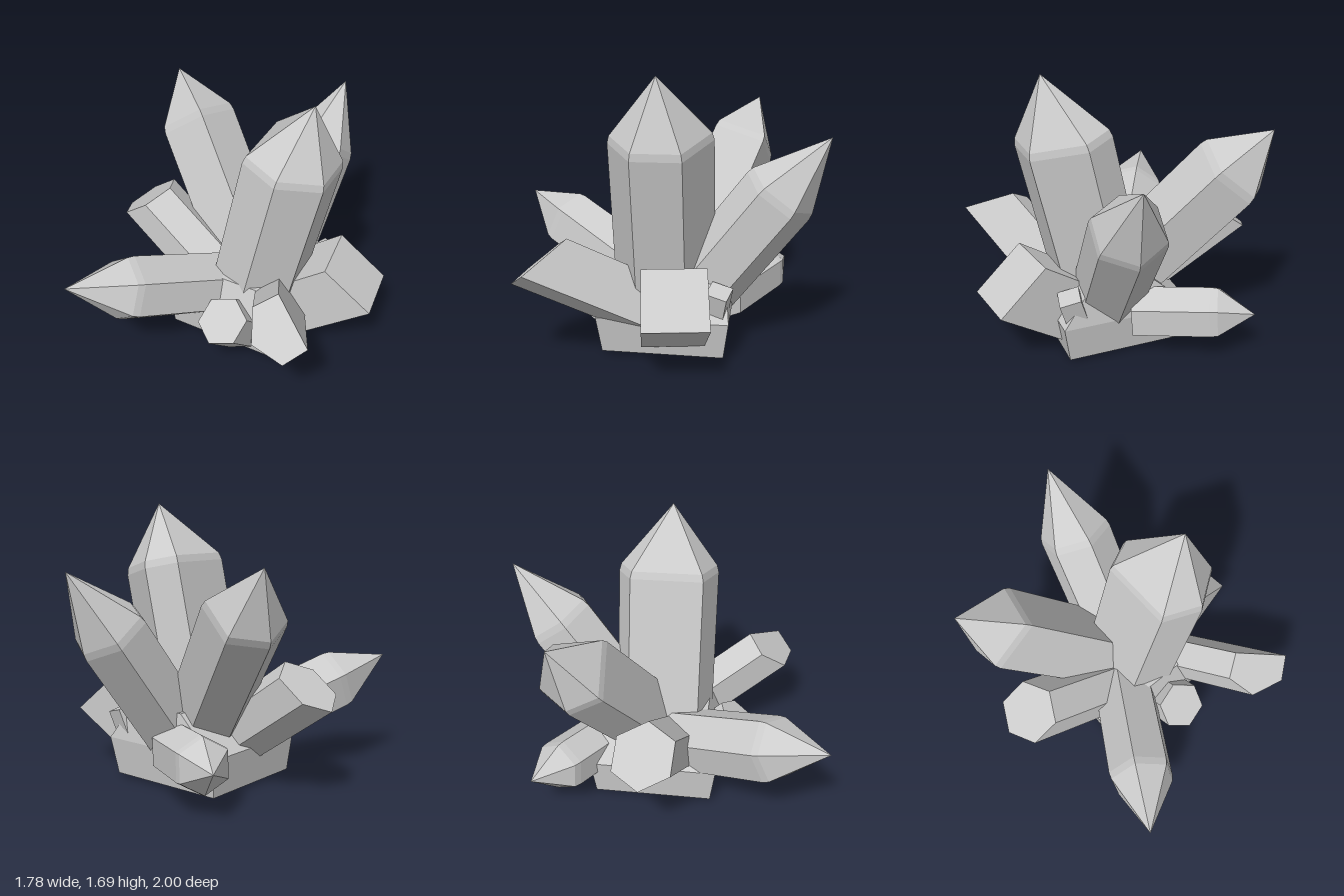
import * as THREE from 'three';

const V = (p) => new THREE.Vector3(...p);
const material = new THREE.MeshStandardMaterial({ color: 0xcccccc, flatShading: true });
const evenAngles = (sides) => Array.from({ length: sides }, (_, i) => (i * 360) / sides);

// Skin a stack of rings (bottom to top, counter-clockwise) and close both ends to a point.
function loft(name, rings, bottom, top) {
  const pos = [];
  const tri = (...pts) => pts.forEach((p) => pos.push(p.x, p.y, p.z));
  const n = rings[0].length;
  const last = rings[rings.length - 1];
  for (let i = 0; i < n; i++) {
    const j = (i + 1) % n;
    for (let k = 0; k + 1 < rings.length; k++) {
      const a = rings[k], b = rings[k + 1];
      tri(a[i], a[j], b[j]);
      tri(a[i], b[j], b[i]);
    }
    tri(rings[0][j], rings[0][i], bottom);
    tri(last[i], last[j], top);
  }
  const geometry = new THREE.BufferGeometry();
  geometry.setAttribute('position', new THREE.Float32BufferAttribute(pos, 3));
  geometry.computeVertexNormals();
  const mesh = new THREE.Mesh(geometry, material);
  mesh.name = name;
  return mesh;
}

// Prism rooted at height foot inside the rock, running along dir to a shoulder at centre.
// corner fixes its radius and roll, angles place its edges. With a tip it ends in a
// bevelled point, otherwise in a flat cap facing capNormal.
function crystal({ name, centre, dir, corner, tip, capNormal = dir, angles = evenAngles(6), foot = 0.25 }) {
  const c = V(centre), d = V(dir).normalize();
  const u = V(corner).sub(c);
  u.addScaledVector(d, -u.dot(d));
  const v = d.clone().cross(u);
  const ring = (along, size) => angles.map((deg) => {
    const a = THREE.MathUtils.degToRad(deg);
    return c.clone().addScaledVector(d, along)
      .addScaledVector(u, Math.cos(a) * size).addScaledVector(v, Math.sin(a) * size);
  });
  const length = (c.y - foot) / d.y;
  const base = c.clone().addScaledVector(d, -length);
  if (tip) return loft(name, [ring(-length, 1), ring(-0.025, 1), ring(0.02, 0.96)], base, V(tip));
  // slide the corners along the prism onto the slanted cap plane
  const cap = ring(0, 1), normal = V(capNormal);
  cap.forEach((p) => p.addScaledVector(d, c.clone().sub(p).dot(normal) / d.dot(normal)));
  return loft(name, [ring(-length, 1), cap], base, c);
}

const pointedCrystals = [
  { name: 'mainCrystal', centre: [0.32, 1.33, -0.03], dir: [0.22, 0.976, 0], corner: [0.62, 1.26, -0.03],
    tip: [0.45, 1.7, -0.02], angles: [-27, 30, 98, 137, 228, 278] },
  { name: 'backCrystal', centre: [0.19, 0.99, -0.72], dir: [0.08, 0.8, -0.59], corner: [0.18, 1.13, -0.54],
    tip: [0.23, 1.34, -1] },
  { name: 'rightBackCrystal', centre: [-0.57, 1.12, -0.44], dir: [-0.58, 0.75, -0.32], corner: [-0.47, 1.29, -0.3],
    tip: [-0.775, 1.385, -0.55], angles: [0, 85, 155, 215, 268] },
  { name: 'rightFrontCrystal', centre: [-0.42, 0.56, 0.69], dir: [-0.47, 0.35, 0.81], corner: [-0.41, 0.75, 0.6],
    tip: [-0.615, 0.71, 1] },
  { name: 'lowBackCrystal', centre: [-0.42, 0.29, -0.62], dir: [-0.84, 0.08, -0.5], corner: [-0.42, 0.46, -0.62],
    tip: [-0.61, 0.31, -0.76] },
];

const bluntCrystals = [
  { name: 'rightBluntCrystal', centre: [-0.72, 0.68, -0.05], dir: [-0.82, 0.56, -0.1], corner: [-0.55, 0.8, -0.04],
    capNormal: [-0.59, 0.8, 0] },
  { name: 'leftFrontBluntCrystal', centre: [0.59, 0.645, 0.635], dir: [0.38, 0.49, 0.79], corner: [0.51, 0.76, 0.49],
    capNormal: [-0.06, 0.77, 0.64], angles: [0, 55, 120, 185, 240] },
  { name: 'leftBlockCrystal', centre: [0.72, 0.505, -0.167], dir: [0.82, 0.57, -0.14], corner: [0.547, 0.635, -0.33],
    capNormal: [0.65, 0.76, -0.08], angles: evenAngles(4) },
  { name: 'frontBluntCrystal', centre: [0.12, 0.345, 0.46], dir: [0, 0.7, 0.7], corner: [0.095, 0.245, 0.58],
    capNormal: [0, 0.78, 0.62], foot: 0.12 },
  { name: 'smallBackCrystal', centre: [0.43, 0.45, -0.39], dir: [0.3, 0.9, -0.15], corner: [0.51, 0.44, -0.44],
    angles: evenAngles(4) },
  { name: 'smallFrontCrystal', centre: [-0.21, 0.45, 0.14], dir: [-0.3, 0.9, 0.2], corner: [-0.27, 0.43, 0.21],
    angles: evenAngles(4) },
];

export function createModel() {
  const group = new THREE.Group();
  group.name = 'crystalCluster';

  // Blocky rock base, widest at its waist: height, x range, z range
  const rings = [
    [0.03, -0.33, 0.44, -0.42, 0.31],
    [0.26, -0.35, 0.48, -0.45, 0.34],
    [0.49, -0.08, 0.31, -0.42, 0.26],
  ].map(([y, x0, x1, z0, z1]) => [[x1, z1], [x1, z0], [x0, z0], [x0, z1]].map(([x, z]) => V([x, y, z])));
  group.add(loft('rockBase', rings, V([0.05, 0.03, -0.06]), V([0.11, 0.49, -0.08])));

  pointedCrystals.forEach((spec) => group.add(crystal(spec)));
  bluntCrystals.forEach((spec) => group.add(crystal(spec)));
  return group;
}
